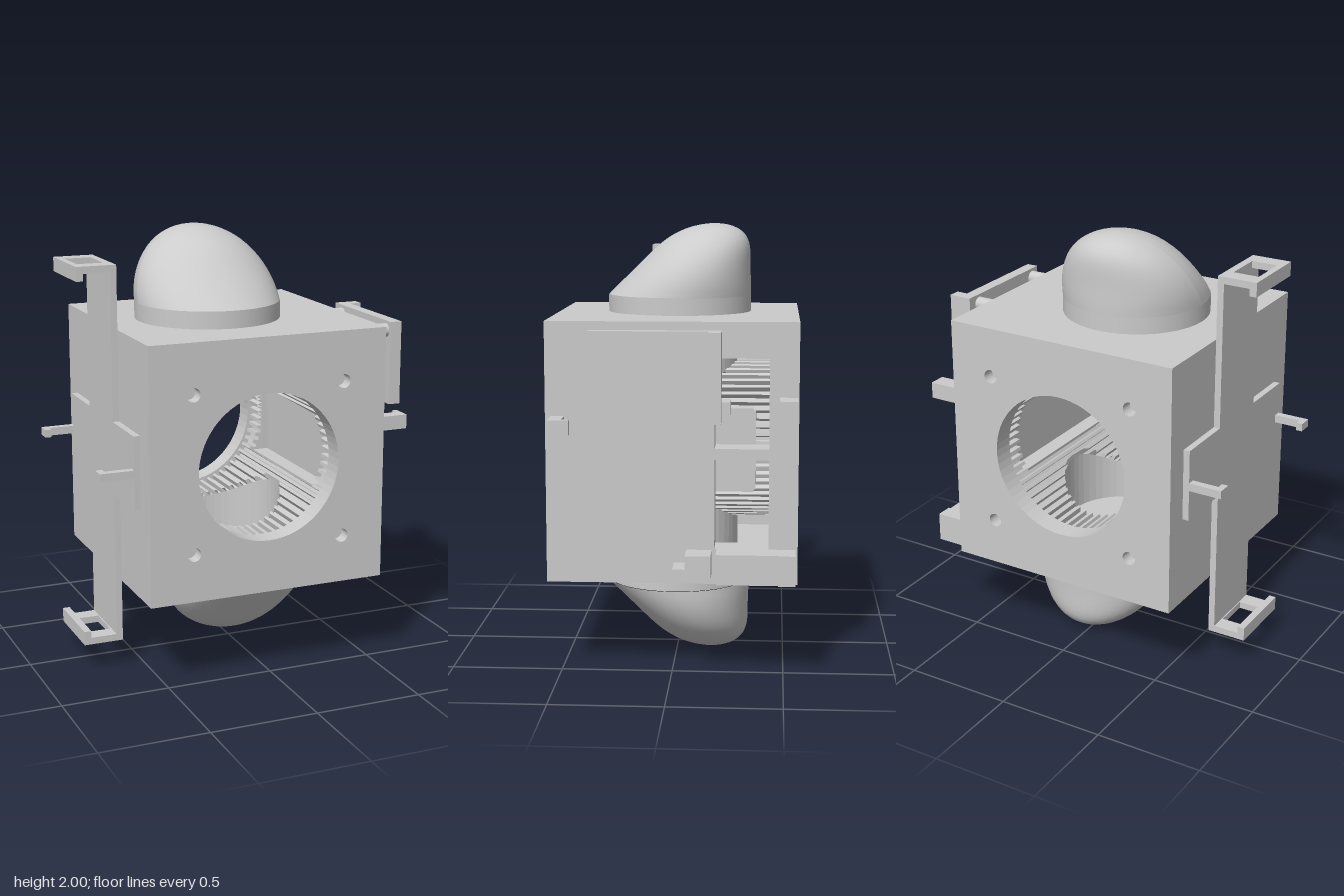
import * as THREE from 'three';

const mat = new THREE.MeshStandardMaterial({ color: 0xcccccc });
const flat = new THREE.MeshStandardMaterial({ color: 0xcccccc, flatShading: true, side: THREE.DoubleSide });
const X0 = -0.6, X1 = 0.53, Y0 = 0.42, Y1 = 1.59, Z = 0.56; // housing limits
const CX = -0.035, CY = 1.0; // bore axis

export function createModel() {
  const root = new THREE.Group();
  const part = (name, geo, parent = root, m = mat) => {
    const mesh = new THREE.Mesh(geo, m);
    mesh.name = name;
    parent.add(mesh);
    return mesh;
  };
  const group = (name) => {
    const g = new THREE.Group();
    g.name = name;
    root.add(g);
    return g;
  };
  // box given by its limits
  const box = (name, x0, x1, y0, y1, z0, z1, parent = root) => part(name,
    new THREE.BoxGeometry(x1 - x0, y1 - y0, z1 - z0)
      .translate((x0 + x1) / 2, (y0 + y1) / 2, (z0 + z1) / 2), parent);
  const rectangle = (P, x0, x1, y0, y1) => new P([[x0, y0], [x1, y0], [x1, y1], [x0, y1]]
    .map(([x, y]) => new THREE.Vector2(x, y)));
  const circle = (x, y, r) => new THREE.Path().absarc(x, y, r, 0, Math.PI * 2, true);
  const extrude = (shape, depth, curveSegments = 32) =>
    new THREE.ExtrudeGeometry(shape, { depth, bevelEnabled: false, curveSegments });
  // open surface from a list of quads
  const quads = (list) => {
    const pos = [];
    for (const [a, b, c, d] of list) pos.push(...a, ...b, ...c, ...a, ...c, ...d);
    const g = new THREE.BufferGeometry();
    g.setAttribute('position', new THREE.Float32BufferAttribute(pos, 3));
    g.computeVertexNormals();
    return g;
  };

  // housing: front and back faces with round opening and blind screw holes
  const housing = group('housing');
  const face = (screws) => {
    const s = rectangle(THREE.Shape, X0, X1, Y0, Y1);
    s.holes.push(circle(CX, CY, 0.338));
    if (screws) for (const sx of [-1, 1]) for (const sy of [-1, 1])
      s.holes.push(circle(CX + sx * 0.36, CY + sy * 0.36, 0.032));
    return s;
  };
  part('frontFace', extrude(face(true), 0.06), housing).position.z = 0.5;
  part('frontBacking', extrude(face(false), 0.04), housing).position.z = 0.46;
  part('backFace', extrude(face(true), 0.06), housing).position.z = -Z;
  part('backBacking', extrude(face(false), 0.04), housing).position.z = -0.5;
  box('topWall', X0, X1, 1.52, Y1, -0.46, 0.46, housing);
  box('bottomWall', X0, X1, Y0, 0.47, -0.46, 0.46, housing);
  box('rightWall', X0, X0 + 0.1, 0.47, 1.52, -0.46, 0.46, housing);
  const side = rectangle(THREE.Shape, -0.46, 0.46, 0.47, 1.52);
  for (const [a, b] of [[0.58, 0.98], [1.03, 1.43]])
    side.holes.push(rectangle(THREE.Path, -0.43, -0.19, a, b));
  part('windowWall', extrude(side, 0.13).rotateY(-Math.PI / 2), housing).position.x = X1;

  // toothed bore, interrupted by side recesses and vertical chambers
  const bore = group('bore');
  const R = 0.28, RB = 0.37, recessY = 0.18, recessZ = 0.36;
  const teeth = 60, ring = [];
  for (let i = 0; i < teeth; i++) for (const [f, r] of [[0, 0.35], [0.4, 0.35], [0.5, 0.375], [0.9, 0.375]]) {
    const a = (i + f) / teeth * Math.PI * 2;
    ring.push([Math.cos(a) * r, Math.sin(a) * r]);
  }
  const gap = ([x, y]) => Math.abs(y) < recessY ? recessZ
    : Math.abs(x) < R ? Math.sqrt(R * R - x * x) : 0;
  const strips = [];
  ring.forEach((p, i) => {
    const q = ring[(i + 1) % ring.length];
    for (const s of [-1, 1]) {
      const at = (v, z) => [CX + v[0], CY + v[1], s * z];
      strips.push([at(p, 0.46), at(q, 0.46), at(q, gap(q)), at(p, gap(p))]);
    }
  });
  part('boreTeeth', quads(strips), bore, flat);
  for (const s of [-1, 1]) {
    const walls = [], n = 48;
    const rim = (i) => {
      const a = i / n * Math.PI * 2, x = R * Math.cos(a);
      return [CX + x, CY + s * Math.sqrt(RB * RB - x * x), R * Math.sin(a)];
    };
    for (let i = 0; i < n; i++) {
      const a = rim(i), b = rim(i + 1), end = CY + s * 0.525;
      walls.push([a, b, [b[0], end, b[2]], [a[0], end, a[2]]]);
    }
    part('chamberWall', quads(walls), bore, flat);
    // flat side recess
    const span = (a, b) => s > 0 ? [CX + a, CX + b] : [CX - b, CX - a];
    box('recessWall', ...span(0.4, 0.412), CY - 0.18, CY + 0.18, -0.36, 0.36, bore);
    for (const t of [-1, 1]) {
      box('recessEdge', ...span(0.325, 0.412), CY + t * 0.185 - 0.005, CY + t * 0.185 + 0.005, -0.36, 0.36, bore);
      box('recessEnd', ...span(0.37, 0.412), CY - 0.18, CY + 0.18, t * 0.365 - 0.005, t * 0.365 + 0.005, bore);
    }
  }

  // leaning domes on round collars
  const dome = (name, x, up) => {
    const g = group(name);
    const collar = new THREE.CylinderGeometry(0.336, 0.336, 0.08, 40, 1, true);
    part('collar', collar, g).position.set(x, up ? 1.63 : 0.38, 0);
    const h = 0.333;
    const geo = new THREE.SphereGeometry(1, 40, 16, 0, Math.PI * 2, 0, Math.PI / 2);
    const p = geo.attributes.position;
    for (let i = 0; i < p.count; i++) {
      const u = p.getY(i);
      p.setXYZ(i, p.getX(i) * 0.336, u * h,
        p.getZ(i) * 0.336 * (1 - 0.14 * Math.sin(Math.PI * u)) - 0.165 * u);
    }
    if (!up) {
      // turn over about z, keeping the lean to the back
      geo.rotateZ(Math.PI);
    }
    geo.computeVertexNormals();
    part('cap', geo, g).position.set(x, up ? 1.667 : 0.338, 0);
  };
  dome('topDome', -0.105, true);
  dome('bottomDome', 0.035, false);

  // cross-shaped bracket on the right side with four hooked arms
  const bracket = group('sideBracket');
  box('upright', -0.63, X0, 0.13, 1.88, -0.168, 0.168, bracket);
  for (const s of [-1, 1]) {
    const z = (a, b) => s > 0 ? [a, b] : [-b, -a];
    box('crossArm', -0.63, X0, 0.84, 1.175, ...z(0.168, 0.447), bracket);
    box('armHook', -0.785, -0.63, 0.985, 1.022, ...z(0.412, 0.447), bracket);
    box('armHookTip', -0.785, -0.755, 0.985, 1.022, ...z(0.38, 0.412), bracket);
    // slotted end plate with lip
    const plate = rectangle(THREE.Shape, -0.785, -0.63, -0.168, 0.168);
    plate.holes.push(rectangle(THREE.Path, -0.755, -0.635, -0.09, 0.09));
    const y = CY + 0.005 + s * 0.875;
    part('endPlate', extrude(plate, 0.032).rotateX(Math.PI / 2), bracket).position.y = s > 0 ? y : y + 0.032;
    const lip = s > 0 ? [y - 0.065, y - 0.032] : [y + 0.032, y + 0.065];
    box('endLip', -0.785, -0.752, ...lip, -0.168, 0.168, bracket);
  }

  // stand-off panel on two posts
  const panel = group('panel');
  box('panelPlate', 0.67, 0.725, 1.175, 1.565, -0.17, 0.347, panel);
  box('panelLip', 0.67, 0.78, 1.175, 1.565, -0.225, -0.17, panel);
  for (const z of [-0.15, 0.3])
    part('post', new THREE.CylinderGeometry(0.032, 0.032, 0.15, 24).rotateZ(Math.PI / 2), panel)
      .position.set(0.6, 1.52, z);

  // small clips and ledge on the left side
  const clips = group('clips');
  box('frontClip', X1, 0.66, 1.105, 1.17, 0.475, 0.535, clips);
  box('frontClipTip', 0.635, 0.66, 1.105, 1.17, 0.44, 0.475, clips);
  box('backClip', X1, 0.66, 1.185, 1.26, -0.555, -0.475, clips);
  box('middleClip', X1, 0.66, 1.19, 1.255, -0.262, -0.2, clips);
  box('ledge', X1, 0.65, 0.445, 0.58, -0.475, -0.2, clips);
  box('ledgeEnd', X1, 0.66, 0.445, 0.58, -0.55, -0.475, clips);
  box('lowerStep', X1, 0.66, 0.465, 0.515, -0.178, -0.01, clips);
  box('lowerStepTop', X1, 0.66, 0.515, 0.575, -0.178, -0.065, clips);
  box('upperStep', X1, 0.66, 1.38, 1.43, -0.178, -0.01, clips);
  box('upperStepBase', X1, 0.66, 1.325, 1.38, -0.178, -0.065, clips);
  return root;
}
